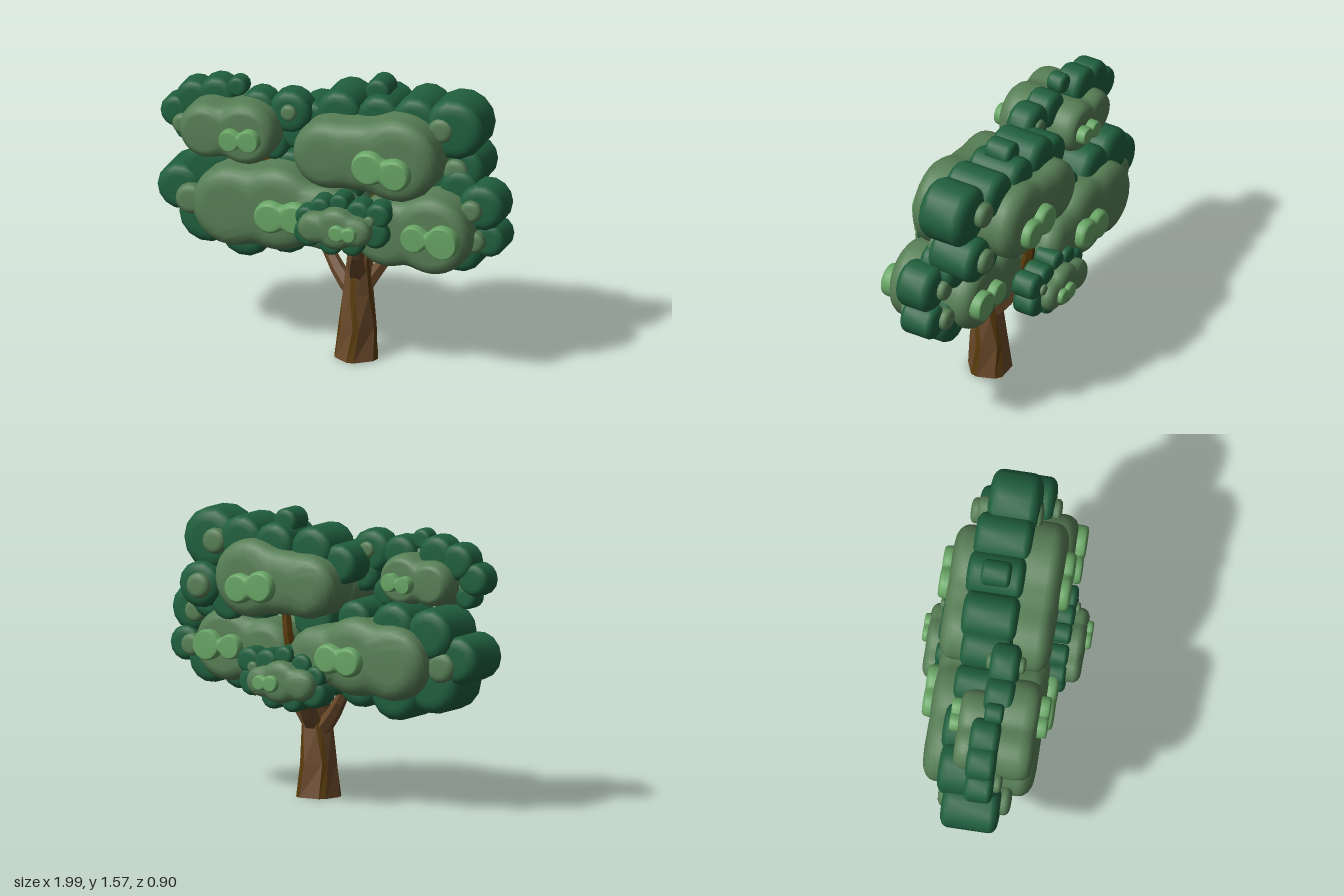
import * as THREE from 'three';

const mat = (color, flatShading = false) => new THREE.MeshStandardMaterial({ color, flatShading, roughness: 1 });
const DARK = mat(0x20603e), MID = mat(0x587f56), BRIGHT = mat(0x68a565);
const BARK = mat(0x6b4a2b, true), GROOVE = mat(0x5a3c0c, true);

function add(parent, name, geometry, material) {
  const mesh = new THREE.Mesh(geometry, material);
  mesh.name = name;
  parent.add(mesh);
  return mesh;
}

// Cloud slab: soft union of circles [x, y, r] in the xy plane, from z0 to z1 with rounded rims
function cloudGeometry(circles, z0, z1, bevel) {
  const n = circles.length, minR = Math.min(...circles.map(c => c[2]));
  const k = 7 / minR;
  const field = (x, y) => -Math.log(circles.reduce(
    (s, c) => s + Math.exp(-k * (Math.hypot(x - c[0], y - c[1]) - c[2])), 0)) / k;
  const cx = circles.reduce((s, c) => s + c[0], 0) / n, cy = circles.reduce((s, c) => s + c[1], 0) / n;
  const depth = (z1 - z0) / 2, mid = (z0 + z1) / 2;
  const b = Math.min(bevel, -field(cx, cy) * 0.75), bz = Math.min(bevel * 0.75, depth * 0.7);
  const reach = (angle, inset) => {
    const dx = Math.cos(angle), dy = Math.sin(angle);
    let hi = 1.2, step = 0.01;
    while (hi > 0 && field(cx + dx * hi, cy + dy * hi) > -inset) hi -= step;
    let lo = hi; hi += step;
    for (let i = 0; i < 8; i++) {
      const m = (lo + hi) / 2;
      if (field(cx + dx * m, cy + dy * m) > -inset) hi = m; else lo = m;
    }
    return Math.max(lo, 0.002);
  };
  const segs = n > 1 ? 44 : 14, steps = 4, rings = [];
  for (let i = 0; i <= steps; i++) {
    const a = i / steps * Math.PI / 2;
    rings.push([b * (1 - Math.cos(a)), depth - bz + bz * Math.sin(a)]);
  }
  const all = [...rings.slice().reverse(), ...rings.map(([i, z]) => [i, -z])];
  const pos = [cx, cy, z1], index = [];
  for (const [inset, z] of all) for (let j = 0; j < segs; j++) {
    const a = j / segs * Math.PI * 2, r = reach(a, inset);
    pos.push(cx + Math.cos(a) * r, cy + Math.sin(a) * r, mid + z);
  }
  const last = pos.length / 3;
  pos.push(cx, cy, z0);
  for (let j = 0; j < segs; j++) {
    const j2 = (j + 1) % segs, end = last - segs;
    index.push(0, 1 + j, 1 + j2, last, end + j2, end + j);
    for (let i = 0; i < all.length - 1; i++) {
      const p = 1 + i * segs, q = p + segs;
      index.push(p + j, q + j, p + j2, p + j2, q + j, q + j2);
    }
  }
  const g = new THREE.BufferGeometry();
  g.setAttribute('position', new THREE.Float32BufferAttribute(pos, 3));
  g.setIndex(index);
  g.computeVertexNormals();
  return g;
}

// Leaf cluster: dark puffs behind, a front and a rear body, bright highlights on both faces
function leafCluster(parent, name, { body, bright, dark, buds = [], front, mid, back, rear = 0.9, shift = -0.03, bevel = 0.1 }) {
  const g = new THREE.Group();
  g.name = name;
  const cx = body.reduce((s, c) => s + c[0], 0) / body.length;
  const cy = body.reduce((s, c) => s + c[1], 0) / body.length;
  const toRear = c => [cx + (c[0] - cx) * rear + shift, cy + (c[1] - cy) * rear - 0.01, c[2] * rear];
  add(g, 'frontLeaves', cloudGeometry(body, mid - 0.05, front, bevel), MID);
  add(g, 'rearLeaves', cloudGeometry(body.map(toRear), back, mid + 0.02, bevel), MID);
  const t = bevel * 0.5;
  add(g, 'frontHighlight', cloudGeometry(bright, front - t, front + t, t), BRIGHT);
  add(g, 'rearHighlight', cloudGeometry(bright.map(toRear), back - t, back + t, t), BRIGHT);
  for (const [x, y, r, z0, z1] of dark) add(g, 'darkPuff', cloudGeometry([[x, y, r]], z0, z1, r * 0.45), DARK);
  for (const [x, y, r, z0, z1] of buds) add(g, 'bud', cloudGeometry([[x, y, r]], z0, z1, r * 0.5), MID);
  parent.add(g);
}

// Tapered faceted limb along a curve
function limb(parent, name, points, r0, r1, material = BARK) {
  const curve = new THREE.CatmullRomCurve3(points.map(p => new THREE.Vector3(...p)));
  const segs = 5, sides = 6, g = new THREE.TubeGeometry(curve, segs, 1, sides);
  const p = g.attributes.position, v = new THREE.Vector3();
  for (let i = 0; i < p.count; i++) {
    const t = Math.floor(i / (sides + 1)) / segs, c = curve.getPointAt(t);
    v.fromBufferAttribute(p, i).sub(c).multiplyScalar(r0 + (r1 - r0) * t).add(c);
    p.setXYZ(i, v.x, v.y, v.z);
  }
  add(parent, name, g, material);
}

// Trunk: vertical bark strips of uneven width, flared at the foot
function buildTrunk(parent) {
  const trunk = new THREE.Group();
  trunk.name = 'trunk';
  const widths = [0.85, 0.3, 0.75, 0.32, 0.9, 0.28, 0.8, 0.35, 0.75, 0.3];
  const total = widths.reduce((a, b) => a + b), h = 0.74;
  let start = 0.2;
  widths.forEach((w, i) => {
    const len = w / total * Math.PI * 2;
    const g = new THREE.CylinderGeometry(1, 1, h, 1, 4, true, start, len);
    const p = g.attributes.position;
    for (let k = 0; k < p.count; k++) {
      const t = p.getY(k) / h + 0.5;
      const r = 0.122 - 0.055 * Math.min(1, t * 1.35);
      const a = Math.atan2(p.getX(k), p.getZ(k)) + 0.22 * Math.sin(t * 7);
      p.setXYZ(k, 0.13 + 0.02 * t + Math.sin(a) * r, t * h, 0.06 + 0.01 * t + Math.cos(a) * r);
    }
    add(trunk, i % 2 ? 'barkGroove' : 'barkStrip', g, i % 2 ? GROOVE : BARK);
    start += len;
  });
  const foot = add(trunk, 'trunkFoot', new THREE.CircleGeometry(0.12, 14), GROOVE);
  foot.rotation.x = Math.PI / 2;
  foot.position.set(0.13, 0.001, 0.06);
  parent.add(trunk);
}

export function createModel() {
  const tree = new THREE.Group();
  tree.name = 'tree';
  buildTrunk(tree);

  limb(tree, 'rightBranch', [[0.11, 0.36, 0.05], [0.03, 0.44, 0.03], [-0.04, 0.53, 0.0], [-0.12, 0.66, -0.02]], 0.05, 0.025);
  limb(tree, 'leftBranch', [[0.17, 0.4, 0.04], [0.23, 0.49, 0.03], [0.28, 0.56, 0.02], [0.36, 0.7, 0]], 0.045, 0.025);
  limb(tree, 'frontBranch', [[0.14, 0.48, 0.08], [0.17, 0.58, 0.18], [0.21, 0.7, 0.27], [0.22, 0.8, 0.3]], 0.055, 0.03);
  limb(tree, 'rearBranch', [[0.14, 0.4, 0.03], [0.13, 0.5, -0.06], [0.13, 0.62, -0.13], [0.13, 0.75, -0.22]], 0.055, 0.035);
  limb(tree, 'upperRearBranch', [[0.13, 0.65, -0.13], [0.15, 0.85, -0.2], [0.18, 1.1, -0.2]], 0.035, 0.025, GROOVE);
  limb(tree, 'upperRightBranch', [[-0.25, 0.9, 0.03], [-0.38, 1.02, 0.04], [-0.46, 1.2, 0.05]], 0.035, 0.025, GROOVE);
  limb(tree, 'upperLeftBranch', [[0.55, 0.85, 0.03], [0.48, 0.96, 0.03], [0.38, 1.1, 0.02]], 0.035, 0.03, GROOVE);

  leafCluster(tree, 'upperRightLeaves', {
    body: [[-0.67, 1.24, 0.155], [-0.45, 1.25, 0.175]],
    bright: [[-0.51, 1.23, 0.06], [-0.4, 1.24, 0.062]],
    dark: [[-0.9, 1.26, 0.09, -0.06, 0.09], [-0.8, 1.35, 0.1, -0.07, 0.09], [-0.67, 1.38, 0.105, -0.07, 0.09],
      [-0.55, 1.45, 0.055, -0.01, 0.09], [-0.85, 1.16, 0.06, -0.05, 0.07], [-0.42, 1.36, 0.1, -0.03, 0.13],
      [-0.24, 1.36, 0.12, -0.03, 0.13], [-0.19, 1.24, 0.1, -0.03, 0.11], [-0.34, 1.15, 0.08, -0.03, 0.11]],
    buds: [[-0.85, 1.21, 0.055, -0.03, 0.13], [-0.23, 1.37, 0.045, -0.05, 0.16]],
    front: 0.27, mid: 0.06, back: -0.15, rear: 0.8
  });
  leafCluster(tree, 'upperLeftLeaves', {
    body: [[0.01, 1.19, 0.19], [0.19, 1.2, 0.185], [0.41, 1.21, 0.235]],
    bright: [[0.28, 1.18, 0.095], [0.43, 1.16, 0.09]],
    dark: [[0.68, 1.37, 0.17, -0.18, 0.1], [0.71, 1.13, 0.125, -0.24, 0.04], [0.46, 1.39, 0.13, -0.22, 0.09],
      [0.22, 1.5, 0.07, -0.15, 0.01], [0.25, 1.38, 0.12, -0.23, 0.08], [0.02, 1.37, 0.125, -0.22, 0.08],
      [-0.14, 1.3, 0.11, -0.2, 0.07], [0.55, 1.04, 0.1, -0.2, 0.05]],
    buds: [[0.62, 1.37, 0.07, -0.23, 0.12], [0.69, 1.13, 0.07, -0.28, 0.08]],
    front: 0.27, mid: -0.04, back: -0.33
  });
  leafCluster(tree, 'lowerRightLeaves', {
    body: [[-0.53, 0.82, 0.225], [-0.27, 0.84, 0.235], [0.0, 0.82, 0.18]],
    bright: [[-0.28, 0.82, 0.09], [-0.14, 0.83, 0.09]],
    dark: [[-0.87, 0.84, 0.13, -0.19, 0.12], [-0.72, 0.97, 0.14, -0.23, 0.1], [-0.72, 0.7, 0.16, -0.2, 0.12],
      [-0.5, 0.64, 0.15, -0.22, 0.12], [-0.27, 0.68, 0.14, -0.2, 0.12], [-0.06, 0.7, 0.12, -0.18, 0.1],
      [-0.5, 1.0, 0.13, -0.24, 0.08], [-0.25, 1.02, 0.1, -0.22, 0.08], [0.05, 0.98, 0.12, -0.15, 0.1]],
    buds: [[-0.79, 0.8, 0.085, -0.22, 0.17]],
    front: 0.27, mid: -0.03, back: -0.33
  });
  leafCluster(tree, 'lowerLeftLeaves', {
    body: [[0.36, 0.8, 0.19], [0.62, 0.82, 0.22]],
    bright: [[0.55, 0.82, 0.075], [0.71, 0.82, 0.092]],
    dark: [[0.86, 0.97, 0.13, -0.06, 0.15], [0.89, 0.78, 0.095, -0.08, 0.12], [0.73, 0.71, 0.13, -0.1, 0.13],
      [0.54, 0.68, 0.12, -0.1, 0.13], [0.37, 0.68, 0.1, -0.1, 0.12], [0.72, 1.04, 0.11, -0.12, 0.1],
      [0.45, 1.0, 0.1, -0.12, 0.1]],
    buds: [[0.82, 0.96, 0.06, -0.1, 0.19], [0.83, 0.78, 0.06, -0.12, 0.17]],
    front: 0.29, mid: 0.05, back: -0.19
  });

  // Two small sprays, one in front of the trunk and its twin behind
  const spray = {
    body: [[0.0, 0.835, 0.085], [0.13, 0.845, 0.115], [0.25, 0.84, 0.08]],
    bright: [[0.155, 0.84, 0.046], [0.225, 0.84, 0.042]],
    dark: [[-0.05, 0.78, 0.08], [-0.06, 0.87, 0.06], [0.02, 0.93, 0.06], [0.13, 0.97, 0.055],
      [0.24, 0.93, 0.07], [0.35, 0.93, 0.07], [0.33, 0.82, 0.08], [0.2, 0.75, 0.07], [0.08, 0.74, 0.07]]
  };
  for (const [name, dx, dy, s] of [['frontSpray', 0, 0, 1], ['rearSpray', -0.03, -0.16, -1]]) {
    const move = c => [c[0] + dx, c[1] + dy, c[2]];
    const inner = s > 0 ? 0.22 : -0.36, outer = s > 0 ? 0.35 : -0.22;
    leafCluster(tree, name, {
      body: spray.body.map(move), bright: spray.bright.map(move),
      dark: spray.dark.map(c => [...move(c), inner, outer]),
      buds: [move([-0.05, 0.82, 0.035]), move([0.31, 0.9, 0.03])].map(c => [...c, inner - 0.02, outer + 0.02]),
      front: s > 0 ? 0.425 : -0.18, mid: s * 0.29, back: s > 0 ? 0.18 : -0.425,
      rear: 1, shift: 0, bevel: 0.055
    });
  }
  return tree;
}
